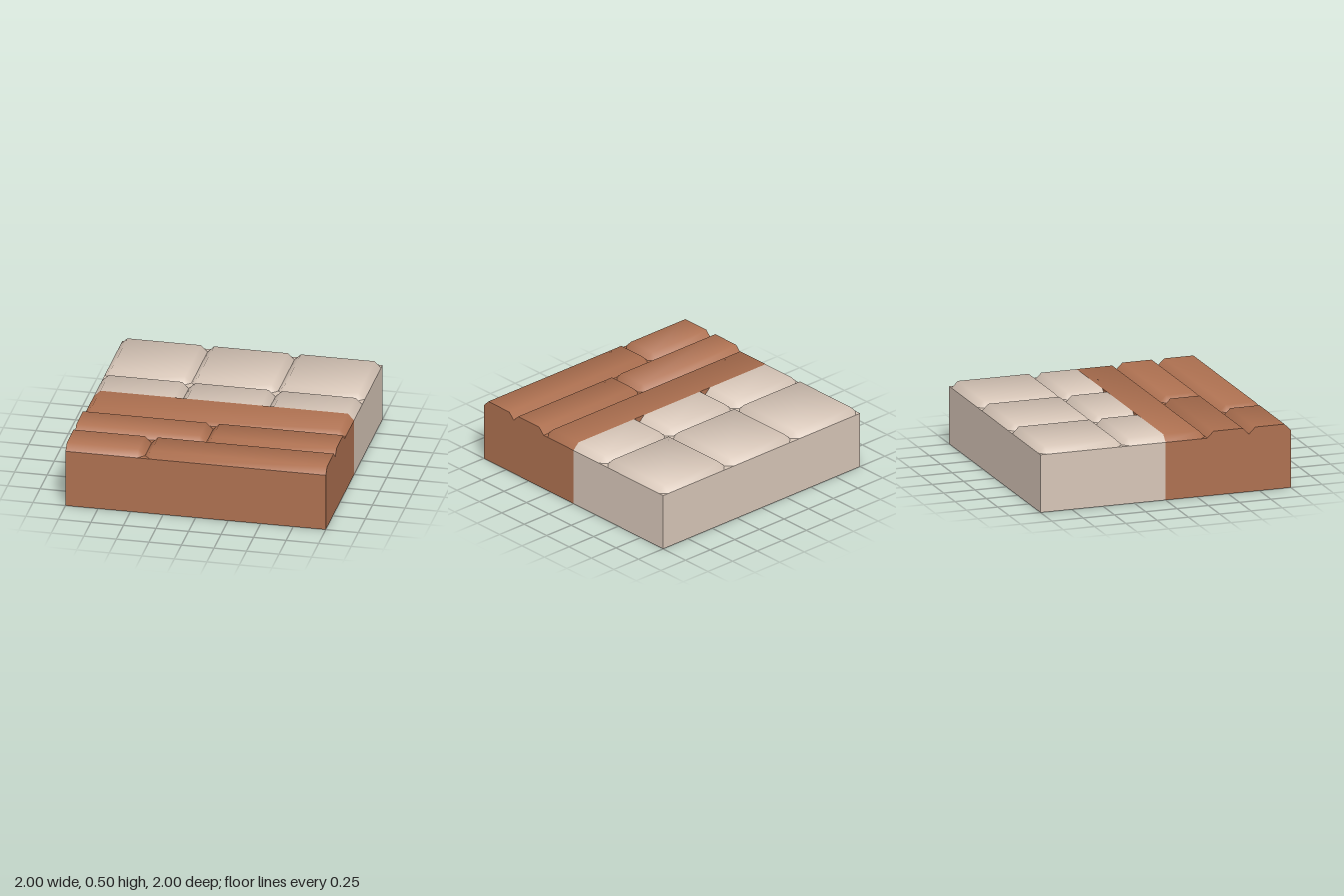
import * as THREE from 'three';

const TOP = 0.5, SEAM = 0.45, BEVEL = 0.05, T = 1 / 3;

// Raised pad with bevelled sides, clipped corners and softly rounded shading.
// flush lists the sides that end in a straight cut: 'l' -x, 'r' +x, 'b' -z, 'f' +z.
function padGeometry(x0, x1, z0, z1, flush) {
  const inset = (side) => (flush.includes(side) ? 0 : BEVEL);
  const corners = [
    [x0, z0, inset('l'), inset('b')],
    [x1, z0, -inset('r'), inset('b')],
    [x1, z1, -inset('r'), -inset('f')],
    [x0, z1, inset('l'), -inset('f')],
  ].map(([x, z, dx, dz]) => ({
    top: new THREE.Vector3(x + dx, TOP, z + dz),
    onX: new THREE.Vector3(x, SEAM, z + dz),
    onZ: new THREE.Vector3(x + dx, SEAM, z),
  }));

  // top, four sides and four corner triangles
  const faces = [corners.map((c) => c.top)];
  corners.forEach((c, i) => {
    const d = corners[(i + 1) % 4];
    const low = i % 2 === 0 ? 'onZ' : 'onX';
    faces.push([c.top, d.top, d[low], c[low]], [c.top, c.onX, c.onZ]);
  });

  const inside = new THREE.Vector3((x0 + x1) / 2, 0.3, (z0 + z1) / 2);
  const normals = faces.map((f) => {
    const n = f[1].clone().sub(f[0]).cross(f[2].clone().sub(f[0])).normalize();
    if (n.dot(f[0].clone().sub(inside)) < 0) {
      f.reverse();
      n.negate();
    }
    return n;
  });

  // blend the normals of sloping faces at shared corners; straight cuts stay flat
  const vertexNormal = (v, own) => {
    if (own.y < 0.3) return own;
    const sum = new THREE.Vector3();
    faces.forEach((f, i) => {
      if (normals[i].y > 0.3 && f.includes(v)) sum.add(normals[i]);
    });
    return sum.normalize();
  };

  const pos = [], nor = [];
  faces.forEach((f, i) => {
    for (let k = 1; k < f.length - 1; k++) {
      for (const v of [f[0], f[k], f[k + 1]]) {
        pos.push(...v.toArray());
        nor.push(...vertexNormal(v, normals[i]).toArray());
      }
    }
  });
  const g = new THREE.BufferGeometry();
  g.setAttribute('position', new THREE.Float32BufferAttribute(pos, 3));
  g.setAttribute('normal', new THREE.Float32BufferAttribute(nor, 3));
  return g;
}

export function createModel() {
  const model = new THREE.Group();
  model.name = 'floorTile';
  const stone = new THREE.MeshStandardMaterial({ name: 'pale stone', color: 0xd6c5b7 });
  const wood = new THREE.MeshStandardMaterial({ name: 'brown wood', color: 0xad7050 });

  const add = (name, geometry, material) => {
    const mesh = new THREE.Mesh(geometry, material);
    mesh.name = name;
    model.add(mesh);
    return mesh;
  };

  // solid halves below the seams
  add('stoneBase', new THREE.BoxGeometry(2, SEAM, 1), stone).position.set(0, SEAM / 2, -0.5);
  add('woodBase', new THREE.BoxGeometry(2, SEAM, 1), wood).position.set(0, SEAM / 2, 0.5);

  // three columns of paving: a full slab behind, a half slab cut off at the wood
  for (let i = 0; i < 3; i++) {
    const x0 = -1 + 2 * T * i, x1 = x0 + 2 * T;
    add('stoneSlab', padGeometry(x0, x1, -1, -T, ''), stone);
    add('stoneHalfSlab', padGeometry(x0, x1, -T, 0, 'f'), stone);
  }

  // planks, cut straight where they run off the tile
  const planks = [
    [-1, 1, 0, T, 'b'],
    [-1, 0, T, 2 * T, 'l'],
    [0, 1, T, 2 * T, 'r'],
    [-1, -0.4, 2 * T, 1, 'l'],
    [-0.4, 1, 2 * T, 1, 'r'],
  ];
  for (const p of planks) add('woodPlank', padGeometry(...p), wood);

  return model;
}
